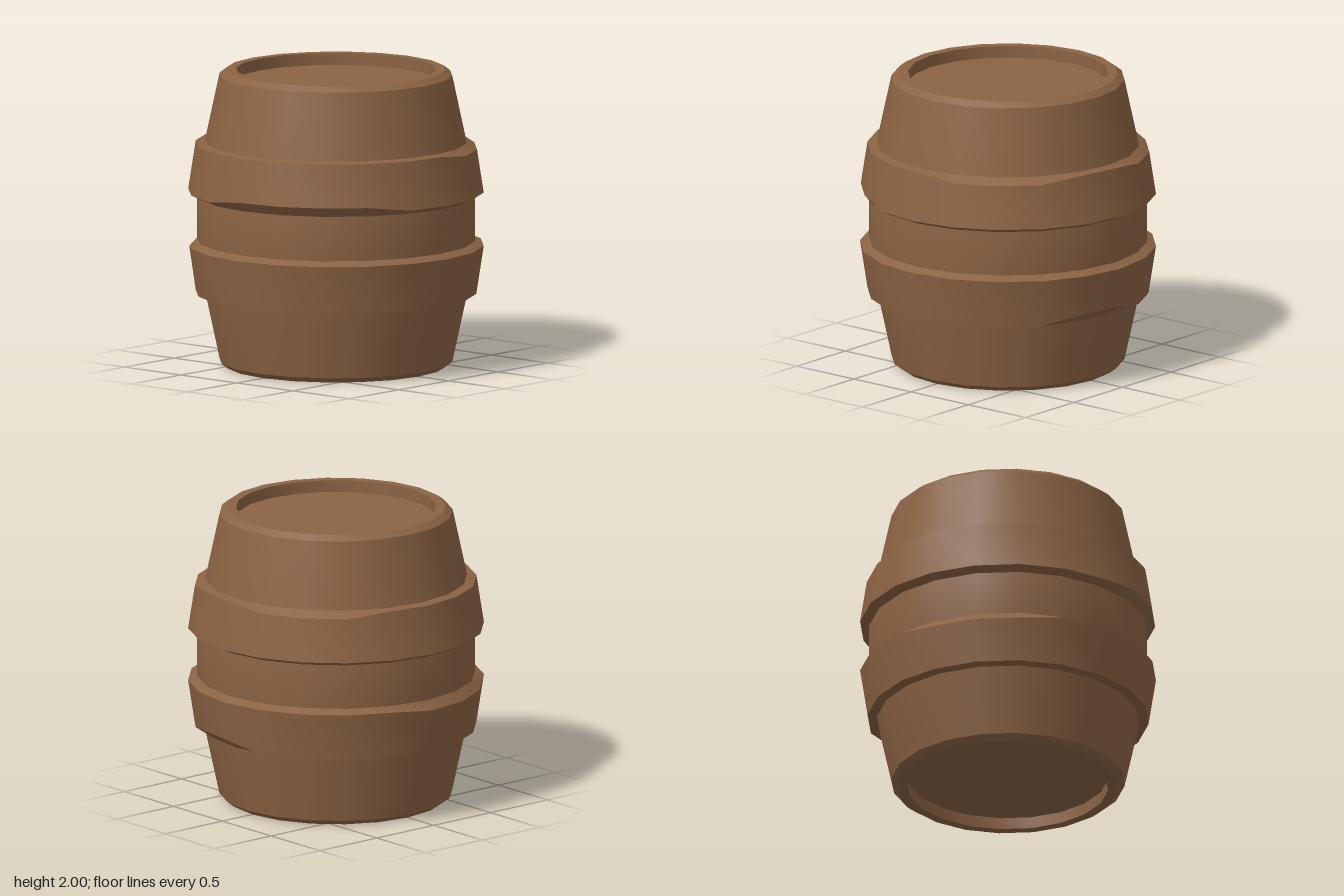
import * as THREE from 'three';
import { toCreasedNormals } from 'three/addons/utils/BufferGeometryUtils.js';

const SIDES = 20;
const wood = new THREE.MeshStandardMaterial({ color: 0x8b6343 });

// Turn a profile of [radius, height] pairs; each dent moves one profile corner
// on the listed sides (side 0 faces +z, counting towards +x).
function turned(name, profile, dents = []) {
  const geometry = new THREE.LatheGeometry(profile.map(([r, y]) => new THREE.Vector2(r, y)), SIDES);
  const position = geometry.attributes.position;
  for (const { corner, to: [r, y], sides } of dents) {
    for (const side of sides) {
      const s = (side + SIDES) % SIDES;
      const a = (s / SIDES) * Math.PI * 2;
      position.setXYZ(s * profile.length + corner, r * Math.sin(a), y, r * Math.cos(a));
    }
  }
  const mesh = new THREE.Mesh(toCreasedNormals(geometry, 0.42), wood);
  mesh.name = name;
  return mesh;
}

export function createModel() {
  const group = new THREE.Group();
  group.name = 'barrel';

  // Body with bevelled rims and recessed heads; the upper half mirrors the lower
  const lower = [[0, 0.08], [0.67, 0.08], [0.67, 0], [0.735, 0], [0.78, 0.035], [0.88, 0.5], [0.93, 0.82]];
  const upper = lower.map(([r, y]) => [r, 2 - y]).reverse();
  group.add(turned('body', [...lower, ...upper]));

  // Bands: closed rings with a few worn, chipped-down corners
  const upperBand = [[0.86, 1.15], [0.93, 1.15], [0.99, 1.18], [0.94, 1.505], [0.875, 1.515], [0.86, 1.15]];
  group.add(turned('upperBand', upperBand, [
    { corner: 3, to: [0.945, 1.472], sides: [1, 2, 3, 6, 7, 8] },
    { corner: 2, to: [0.985, 1.215], sides: [-2, -3, -4, -5] },
  ]));

  const lowerBand = upperBand.map(([r, y]) => [r, 2 - y]).reverse();
  group.add(turned('lowerBand', lowerBand, [
    { corner: 2, to: [0.945, 0.545], sides: [4, 5] },
    { corner: 3, to: [0.983, 0.79], sides: [-8, -9, -10] },
  ]));

  return group;
}
